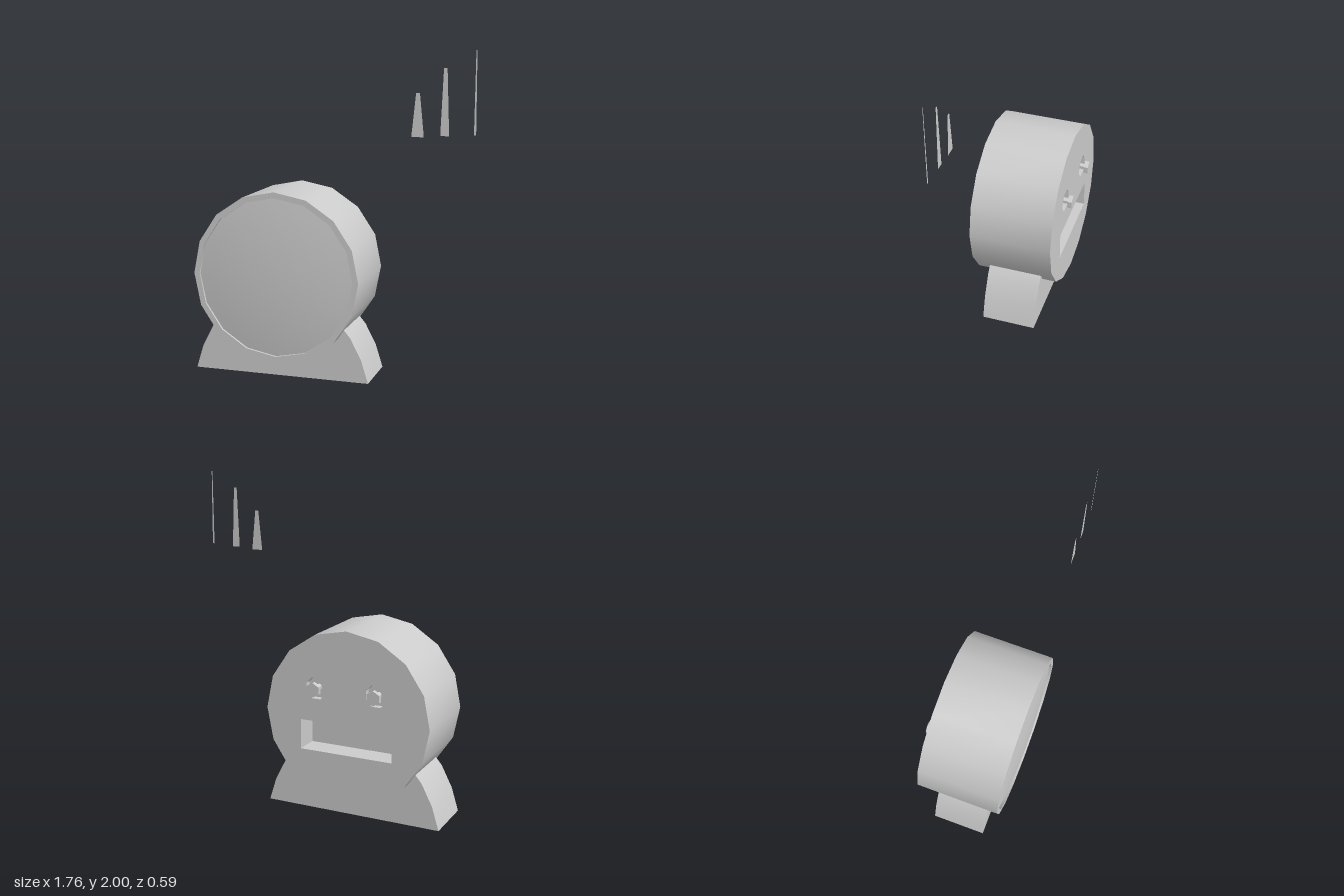
import * as THREE from 'three';
import { toCreasedNormals } from 'three/addons/utils/BufferGeometryUtils.js';

const grey = new THREE.MeshStandardMaterial({ color: 0xcccccc });
const greyDouble = new THREE.MeshStandardMaterial({ color: 0xcccccc, side: THREE.DoubleSide });

const CX = -0.32, CY = 0.635;     // axis of the clock case
const BACK = -0.245, FRONT = 0.28;
const SIDES = 16;

export function createModel() {
  const group = new THREE.Group();
  const add = (name, geometry, x, y, z, material = grey) => {
    const mesh = new THREE.Mesh(geometry, material);
    mesh.name = name;
    mesh.position.set(x, y, z);
    group.add(mesh);
    return mesh;
  };
  // Revolves a (radius, z) profile about the z axis
  const turned = (profile) => {
    const g = new THREE.LatheGeometry(profile.map(([r, z]) => new THREE.Vector2(r, z)), SIDES);
    return toCreasedNormals(g.rotateX(Math.PI / 2), 0.6);
  };
  const ring = (n, rx, ry, x, y, start) => Array.from({ length: n }, (_, i) => {
    const a = start + (i / n) * Math.PI * 2;
    return new THREE.Vector2(x + rx * Math.cos(a), y + ry * Math.sin(a));
  });
  const rod = (r, depth, n) =>
    toCreasedNormals(new THREE.CylinderGeometry(r, r, depth, n).rotateX(Math.PI / 2), 0.6);

  // Case wall, front rim and its inner lip
  add('caseWall', turned([[0.525, BACK], [0.525, FRONT], [0.49, FRONT], [0.49, 0.255]]), CX, CY, 0);

  // Shallow domed glass
  const dome = [];
  for (let i = 0; i <= 8; i++) {
    const r = 0.49 * (1 - i / 8);
    dome.push([r, 0.295 - 0.03 * (r / 0.49) ** 2]);
  }
  add('glass', turned(dome), CX, CY, 0);

  // Back panel with a battery slot and two knob wells
  const panel = new THREE.Shape(ring(SIDES, 0.525, 0.525, 0, 0, 0));
  const well = (name, n, rx, ry, x, y, depth) => {
    const pts = ring(n, rx, ry, x, y, Math.PI / n);
    panel.holes.push(new THREE.Path(pts));
    const walls = new THREE.BufferGeometry();
    const pos = [];
    pts.forEach((p, i) => {
      const q = pts[(i + 1) % n];
      pos.push(p.x, p.y, 0, p.x, p.y, depth, q.x, q.y, depth);
      pos.push(p.x, p.y, 0, q.x, q.y, depth, q.x, q.y, 0);
    });
    walls.setAttribute('position', new THREE.Float32BufferAttribute(pos, 3));
    walls.computeVertexNormals();
    add(name + 'Walls', walls, CX, CY, BACK, greyDouble);
    add(name + 'Floor', new THREE.ShapeGeometry(new THREE.Shape(pts)), CX, CY, BACK + depth, greyDouble);
  };
  well('batterySlot', 4, 0.295 * Math.SQRT2, 0.0925 * Math.SQRT2, 0, -0.1375, 0.15);
  for (const side of [-1, 1]) {
    const x = side * 0.193, y = 0.16;
    well('knobWell', 8, 0.07, 0.07, x, y, 0.04);
    add('knobShaft', rod(0.02, 0.07, 6), CX + x, CY + y, -0.235);
    add('knobHead', rod(0.045, 0.028, 6), CX + x, CY + y, -0.281);
  }
  add('backPanel', new THREE.ShapeGeometry(panel), CX, CY, BACK, greyDouble);

  // Flared foot, mirrored about the case axis
  const half = [[0.5625, 0], [0.518, 0.143], [0.45, 0.275], [0.408, 0.325]];
  const foot = new THREE.Shape([
    ...half.map(([x, y]) => new THREE.Vector2(x, y)),
    ...half.slice().reverse().map(([x, y]) => new THREE.Vector2(-x, y)),
  ]);
  add('foot', toCreasedNormals(
    new THREE.ExtrudeGeometry(foot, { depth: 0.345, bevelEnabled: false }), 0.6), CX, 0, -0.155);

  // Loose flat hands beside the case: x, bottom, top, half widths
  const hands = [
    ['hourHand', 0.54, 1.51, 1.76, 0.034, 0.011],
    ['minuteHand', 0.696, 1.52, 1.9, 0.024, 0.01],
    ['secondHand', 0.868, 1.53, 2.0, 0.006, 0.003],
  ];
  for (const [name, x, y0, y1, w0, w1] of hands) {
    const h = y1 - y0;
    const shape = new THREE.Shape([[-w0, 0], [w0, 0], [w0, h * 0.1], [w1, h], [-w1, h], [-w0, h * 0.1]]
      .map(([px, py]) => new THREE.Vector2(px, py)));
    add(name, new THREE.ShapeGeometry(shape), x, y0, 0.24, greyDouble);
  }
  return group;
}
